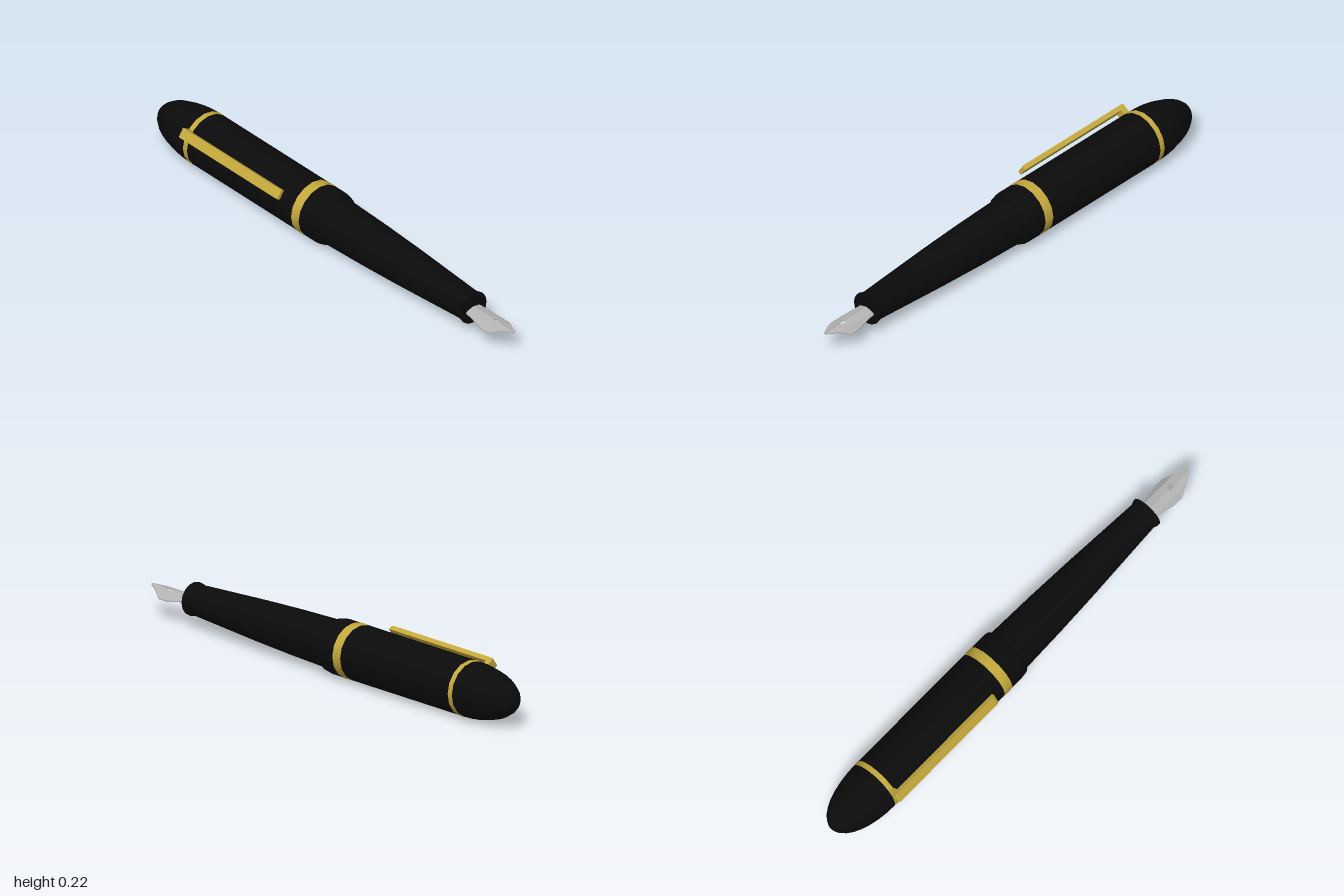
import * as THREE from 'three';
import { toCreasedNormals } from 'three/addons/utils/BufferGeometryUtils.js';

const CX = 0.011, CY = 0.111; // pen axis
const SIDES = 16;
const black = new THREE.MeshStandardMaterial({ color: 0x0b0b0b });
const gold = new THREE.MeshStandardMaterial({ color: 0xc4a93c });
const steel = new THREE.MeshStandardMaterial({ color: 0xb4b4b4, side: THREE.DoubleSide });

// Turned part along z; profile is [radius, z] from back to front
function turned(name, profile, material) {
  const pts = profile.map(([r, z]) => new THREE.Vector2(r, z));
  const geo = new THREE.LatheGeometry(pts, SIDES).rotateX(Math.PI / 2);
  const mesh = new THREE.Mesh(toCreasedNormals(geo, 0.6), material);
  mesh.name = name;
  mesh.position.set(CX, CY, 0);
  return mesh;
}

const ring = (name, r, z0, z1) =>
  turned(name, [[r - 0.02, z0], [r, z0], [r, z1], [r - 0.02, z1]], gold);

// Folded nib sheet: height depends only on distance from the ridge
const FOLD = 0.031;
const ridgeHeight = x => x < FOLD ? 0.12 - 0.0075 * x / FOLD
  : 0.1125 - 0.0195 * (x - FOLD) / 0.022;

function nibPanel(points, side) {
  const shape = new THREE.Shape(points.map(([x, z]) => new THREE.Vector2(x * side, z)));
  const geo = new THREE.ExtrudeGeometry(shape, { depth: 0.005, bevelEnabled: false });
  const p = geo.attributes.position;
  for (let i = 0; i < p.count; i++) {
    const x = p.getX(i), z = p.getY(i), d = p.getZ(i);
    p.setXYZ(i, x, ridgeHeight(Math.abs(x)) - d, z);
  }
  geo.computeVertexNormals();
  const mesh = new THREE.Mesh(geo, steel);
  mesh.name = side > 0 ? 'nibPanelLeft' : 'nibPanelRight';
  return mesh;
}

function createNib() {
  const nib = new THREE.Group();
  nib.name = 'nib';
  // Half of the breather hole, from its tip end round to its back end
  const hole = [];
  for (let i = 0; i <= 8; i++) {
    const a = 0.08 + (Math.PI - 0.08) * i / 8;
    hole.push([0.011 * Math.sin(a), 0.9 + 0.014 * Math.cos(a)]);
  }
  const inner = [[0, 0.72], [FOLD, 0.72], [FOLD, 0.95], [0.004, 1], [0.0008, 1], ...hole];
  const outer = [[FOLD, 0.72], [0.038, 0.76], [0.041, 0.8], [0.053, 0.865], [0.053, 0.91], [FOLD, 0.95]];
  for (const side of [1, -1]) nib.add(nibPanel(inner, side), nibPanel(outer, side));
  nib.position.x = CX;
  return nib;
}

// Clip: side profile in (radius, z), extruded across its width
function createClip() {
  const profile = [
    [0.1, -0.76], [0.146, -0.76], [0.148, -0.755], [0.148, -0.215],
    [0.143, -0.203], [0.128, -0.203], [0.128, -0.735], [0.1, -0.735],
  ];
  const shape = new THREE.Shape(profile.map(([r, z]) => new THREE.Vector2(r, z)));
  const geo = new THREE.ExtrudeGeometry(shape, { depth: 0.04, bevelEnabled: false });
  geo.translate(0, 0, -0.02);
  const angle = Math.PI * 13 / 16;
  const out = new THREE.Vector3(Math.cos(angle), Math.sin(angle), 0);
  const along = new THREE.Vector3(0, 0, 1);
  const across = new THREE.Vector3().crossVectors(out, along);
  geo.applyMatrix4(new THREE.Matrix4().makeBasis(out, along, across));
  const clip = new THREE.Mesh(geo, gold);
  clip.name = 'clip';
  clip.position.set(CX, CY, 0);
  return clip;
}

export function createModel() {
  const pen = new THREE.Group();
  pen.name = 'fountainPen';

  // Tapered barrel with a small flare at the nib end
  pen.add(turned('barrel', [
    [0, -0.06], [0.097, -0.06], [0.096, 0], [0.09, 0.2], [0.081, 0.4],
    [0.061, 0.745], [0.067, 0.76], [0.067, 0.77], [0, 0.77],
  ], black));

  // Cap with an elliptical dome at the back and a rounded mouth
  const cap = [];
  for (let i = 0; i <= 9; i++) {
    const a = i / 9 * Math.PI / 2;
    cap.push([0.11 * Math.sin(a), -0.76 - 0.24 * Math.cos(a)]);
  }
  cap.push([0.11, -0.04], [0.108, -0.022], [0.102, -0.012], [0.09, -0.01]);
  pen.add(turned('cap', cap, black));

  pen.add(ring('clipRing', 0.111, -0.76, -0.738));
  pen.add(ring('capBand', 0.111, -0.146, -0.104));
  pen.add(createClip(), createNib());
  return pen;
}
